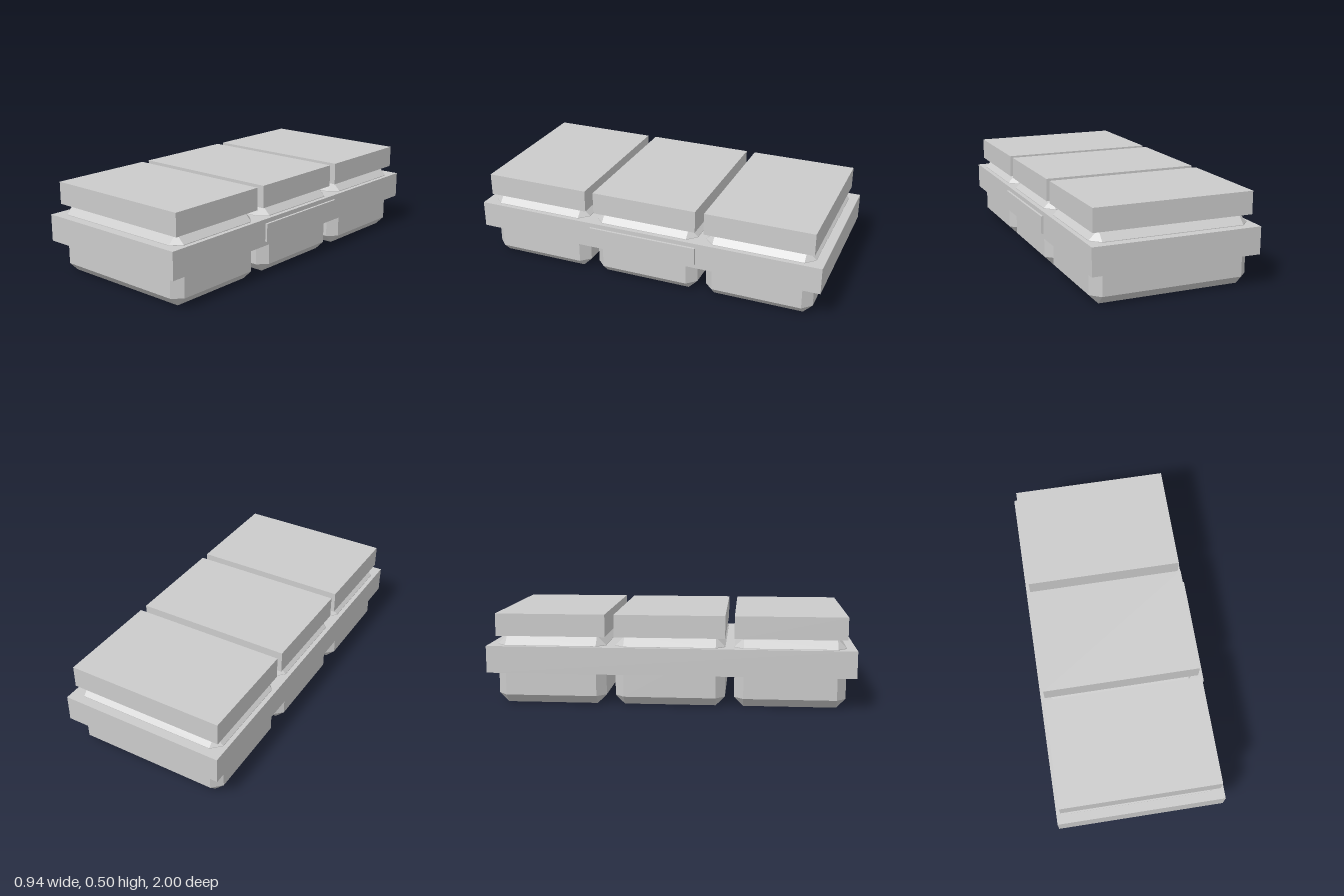
import * as THREE from 'three';
import { ConvexGeometry } from 'three/addons/geometries/ConvexGeometry.js';

const material = new THREE.MeshStandardMaterial({ color: 0xcccccc, flatShading: true });

// Box with every edge chamfered by c
function chamferedBox(w, h, d, c) {
  const points = [];
  for (const sx of [-1, 1]) for (const sy of [-1, 1]) for (const sz of [-1, 1]) {
    const x = w / 2, y = h / 2, z = d / 2;
    points.push(
      new THREE.Vector3(sx * x, sy * (y - c), sz * (z - c)),
      new THREE.Vector3(sx * (x - c), sy * y, sz * (z - c)),
      new THREE.Vector3(sx * (x - c), sy * (y - c), sz * z)
    );
  }
  return new ConvexGeometry(points);
}

export function createModel() {
  const group = new THREE.Group();
  const centreX = -0.007;

  function add(name, geometry, x, y, z) {
    const mesh = new THREE.Mesh(geometry, material);
    mesh.name = name;
    mesh.position.set(x, y, z);
    group.add(mesh);
  }

  // Long band that holds the three pods together
  add('band', new THREE.BoxGeometry(0.924, 0.148, 2), centreX, 0.25, 0);

  // Thin plate on the left side of the band
  add('sidePlate', new THREE.BoxGeometry(0.024, 0.1, 0.624), 0.456, 0.25, 0);

  // Three chamfered pods, each with a flat lid
  const podGeometry = chamferedBox(0.875, 0.377, 0.6, 0.05);
  const lidGeometry = new THREE.BoxGeometry(0.875, 0.123, 0.6);
  ['back', 'middle', 'front'].forEach((place, i) => {
    const z = (i - 1) * 0.65;
    add(place + 'Pod', podGeometry, centreX, 0.1885, z);
    add(place + 'Lid', lidGeometry, centreX, 0.4385, z);
  });

  return group;
}
